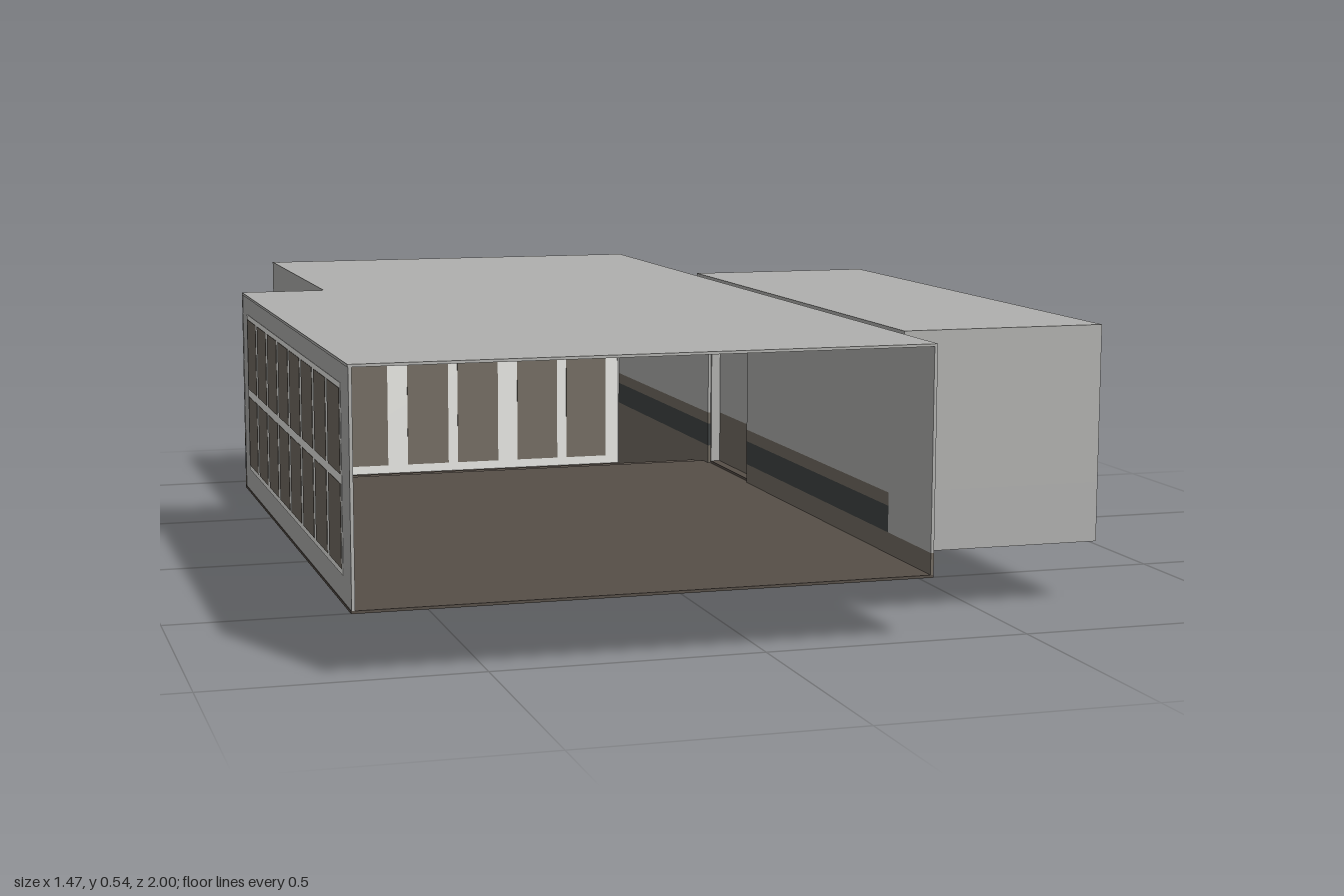
import * as THREE from 'three';

const mat = (name, color, side = THREE.FrontSide) => {
  const m = new THREE.MeshStandardMaterial({ color, side });
  m.name = name;
  return m;
};

export function createModel() {
  const wall = mat('wall grey', 0xb0b0ae, THREE.DoubleSide);
  const brown = mat('dado brown', 0x736c62);
  const stripe = mat('dark stripe', 0x404444);
  const floorMat = mat('floor brown', 0x564e47);
  const frame = mat('frame white', 0xfafaf6);
  const glass = mat('dark glass', 0x736c62);
  const model = new THREE.Group();
  const T = 0.006; // sheet thickness

  // box given by its limits on each axis
  const box = (name, m, x0, x1, y0, y1, z0, z1, parent = model) => {
    const mesh = new THREE.Mesh(new THREE.BoxGeometry(x1 - x0, y1 - y0, z1 - z0), m);
    mesh.position.set((x0 + x1) / 2, (y0 + y1) / 2, (z0 + z1) / 2);
    mesh.name = name;
    parent.add(mesh);
  };

  // stacked wall bands: brown skirting, dark stripe, brown cap, grey wall
  const BANDS = [[0.12, 0.16, brown], [0.16, 0.21, stripe], [0.21, 0.235, brown], [0.235, 0.535, wall]];
  const PLAIN = [[0.12, 0.16, brown], [0.16, 0.535, wall]];
  const banded = (name, bands, x0, x1, z0, z1) => {
    const g = new THREE.Group();
    g.name = name;
    bands.forEach(([y0, y1, m]) => box(name + 'Band', m, x0, x1, y0, y1, z0, z1, g));
    model.add(g);
  };

  // roofs
  box('mainRoof', wall, -0.735, 0.315, 0.53, 0.535, -0.265, 1);
  box('rearRoof', wall, -0.56, 0.315, 0.53, 0.535, -0.99, -0.265);

  // floor and descending treads with risers: [z front, z back, height]
  box('mainFloor', floorMat, -0.735, 0.315, 0.115, 0.12, -0.265, 1);
  const treads = [[-0.265, -0.30, 0.12], [-0.30, -0.375, 0.11], [-0.375, -0.415, 0.085],
    [-0.415, -0.59, 0.06], [-0.59, -0.625, 0.03], [-0.625, -0.99, 0.005]];
  treads.forEach(([z0, z1, y], i) => {
    box('tread', floorMat, -0.56, 0.315, y - 0.005, y, z1, z0);
    if (i) box('riser', brown, -0.56, 0.315, y - 0.005, treads[i - 1][2], z0, z0 + 0.004);
  });

  // rear side walls with stepped lower edge
  for (const x of [-0.56, 0.315 - T]) {
    banded('rearSideWall', BANDS.slice(1), x, x + T, -0.985, -0.265);
    treads.forEach(([z0, z1, y]) => box('steppedSkirting', brown, x, x + T, y - 0.005, 0.16, Math.max(z1, -0.985), z0));
  }

  // notch wall
  banded('notchWall', BANDS, -0.735, -0.56, -0.265, -0.265 + T);

  // right wall with a doorway and passage to the side block
  const xr = 0.315 - T;
  box('doorHeader', wall, xr, 0.315, 0.42, 0.535, -0.265, 0);
  banded('rightWall', BANDS, xr, 0.315, 0, 0.8);
  banded('rightWallFront', PLAIN, xr, 0.315, 0.8, 1);
  box('passageRoof', wall, 0.315, 0.337, 0.415, 0.42, -0.265, 0);
  box('passageFloor', floorMat, 0.315, 0.337, 0.12, 0.125, -0.265, 0);
  for (const z of [-0.265, -T]) box('passageSide', wall, 0.315, 0.337, 0.12, 0.42, z, z + T);

  // side block: grey box with a brown base that stops behind the grey front
  box('sideBlock', wall, 0.335, 0.735, 0.235, 0.535, -0.43, 0.8);
  box('sideBlockBase', brown, 0.335, 0.735, 0.12, 0.235, -0.43, 0.796);
  box('sideBlockFront', wall, 0.335, 0.735, 0.12, 0.235, 0.796, 0.8);

  // left window wall: grey sheet, white frame, two rows of panes
  const xl = -0.731;
  box('leftWall', wall, xl - 0.003, xl + 0.003, 0.12, 0.535, -0.265, 1);
  box('leftWindowFrame', frame, xl - 0.0037, xl + 0.0037, 0.165, 0.495, -0.2, 0.925);
  const n = 8, pitch = 1.125 / n;
  for (let i = 0; i < n; i++) {
    for (const [y0, y1] of [[0.175, 0.322], [0.338, 0.485]]) {
      const z = -0.2 + i * pitch;
      box('leftPane', glass, xl - 0.0044, xl + 0.0044, y0, y1, z + 0.01, z + pitch - 0.01);
    }
  }

  // rear window wall: three bays, each with two upper panes and two doors
  box('rearWindowFrame', frame, -0.55, 0.31, 0, 0.485, -0.995, -0.988);
  const rearPane = (x0, x1, y0, y1) => box('rearPane', glass, x0, x1, y0, y1, -0.9962, -0.9868);
  for (let i = 0; i < 3; i++) {
    const x = -0.525 + i * 0.28;
    rearPane(x, x + 0.12, 0.325, 0.47);
    rearPane(x + 0.13, x + 0.25, 0.325, 0.47);
    rearPane(x + 0.01, x + 0.113, 0.025, 0.28);
    rearPane(x + 0.137, x + 0.24, 0.025, 0.28);
  }
  for (const [x0, x1] of [[-0.56, -0.55], [0.305, 0.315]]) box('rearPost', wall, x0, x1, 0, 0.535, -1, -0.985);

  // sloping wedge between the rear windows and the roof
  const wedge = new THREE.Shape([[-0.53, 0.535], [0.315, 0.485], [0.315, 0.535]].map(p => new THREE.Vector2(...p)));
  const wedgeMesh = new THREE.Mesh(new THREE.ExtrudeGeometry(wedge, { depth: T, bevelEnabled: false }), wall);
  wedgeMesh.position.z = -0.996;
  wedgeMesh.name = 'rearWedge';
  model.add(wedgeMesh);

  return model;
}
